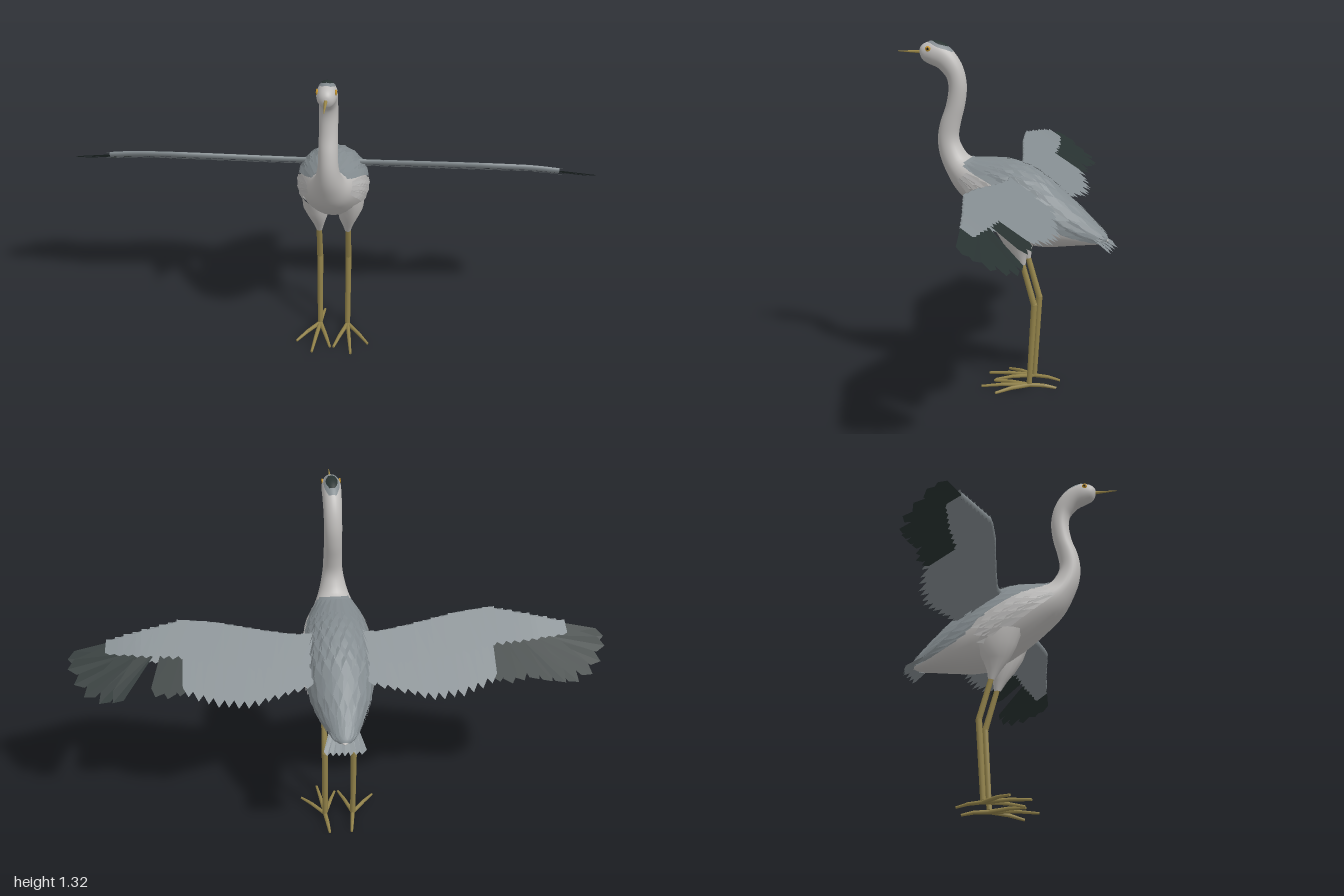
import * as THREE from 'three';

const mat = (name, color, side = THREE.FrontSide) => {
  const m = new THREE.MeshStandardMaterial({ color, side });
  m.name = name;
  return m;
};
const V = (x, y, z) => new THREE.Vector3(x, y, z);
const lerp = THREE.MathUtils.lerp;

// Body cross-sections from face to tail: [top z, top y, bottom z, bottom y, half width]
const RINGS = [
  [.336, 1.285, .336, 1.283, .001], [.331, 1.301, .331, 1.265, .016], [.314, 1.315, .32, 1.248, .029],
  [.28, 1.322, .295, 1.235, .036], [.24, 1.31, .265, 1.222, .036], [.2, 1.277, .245, 1.203, .035],
  [.17, 1.225, .23, 1.18, .034], [.157, 1.16, .226, 1.14, .034], [.163, 1.09, .237, 1.08, .034],
  [.18, 1.02, .258, 1.02, .035], [.188, .965, .268, .96, .037], [.175, .925, .262, .9, .045],
  [.145, .89, .24, .84, .06], [.09, .882, .2, .77, .085], [.02, .882, .14, .71, .108],
  [-.05, .868, .05, .637, .122], [-.13, .828, -.05, .572, .125], [-.2, .77, -.14, .556, .112],
  [-.27, .71, -.22, .562, .088], [-.33, .65, -.29, .569, .058], [-.37, .61, -.35, .575, .032],
  [-.385, .59, -.385, .588, .002],
];
const LAST = RINGS.length - 1;
const topCurve = new THREE.CatmullRomCurve3(RINGS.map(r => V(r[4], r[1], r[0])), false, 'catmullrom');
const botCurve = new THREE.CatmullRomCurve3(RINGS.map(r => V(r[4], r[3], r[2])), false, 'catmullrom');

// Point on the body: t = section number, a = angle from the top, off = height above the skin
function skin(t, a, off = 0) {
  const k = THREE.MathUtils.clamp(t / LAST, 0, 1);
  const p = topCurve.getPoint(k), q = botCurve.getPoint(k);
  const hy = (p.y - q.y) / 2, hz = (p.z - q.z) / 2;
  const s = Math.cos(a) * (1 + off / Math.max(.01, Math.hypot(hy, hz)));
  return V((p.x + off) * Math.sin(a), (p.y + q.y) / 2 + hy * s, (p.z + q.z) / 2 + hz * s);
}

// Smooth grid surface; fn(u, v) gives the points, wrap closes it along v
function grid(nu, nv, fn, wrap = false) {
  const pos = [], idx = [], cols = wrap ? nv : nv + 1;
  for (let i = 0; i <= nu; i++)
    for (let j = 0; j < cols; j++) pos.push(...fn(i / nu, j / nv).toArray());
  for (let i = 0; i < nu; i++)
    for (let j = 0; j < nv; j++) {
      const a = i * cols + j, b = i * cols + (j + 1) % cols;
      idx.push(a, b, a + cols, b, b + cols, a + cols);
    }
  const g = new THREE.BufferGeometry();
  g.setAttribute('position', new THREE.Float32BufferAttribute(pos, 3));
  g.setIndex(idx);
  g.computeVertexNormals();
  return g;
}

// Flat feathers, each a small polygon filled as a fan
function plates(polys) {
  const pos = [];
  for (const p of polys)
    for (let i = 1; i < p.length - 1; i++)
      for (const v of [p[0], p[i], p[i + 1]]) pos.push(v.x, v.y, v.z);
  const g = new THREE.BufferGeometry();
  g.setAttribute('position', new THREE.Float32BufferAttribute(pos, 3));
  g.computeVertexNormals();
  return g;
}

// Pointed feather lying on the body
const bodyFeather = (t, a, len, half) => [
  skin(t, a - half * .6, .003), skin(t, a + half * .6, .003), skin(t + len * .65, a + half, .009),
  skin(t + len, a, .012), skin(t + len * .65, a - half, .009),
];

// Wing surface: a plane sloping down to the back, drooping at the tip
const wingPoint = (side, x, z, lift) =>
  V(side * x, .845 + .65 * z - .02 * THREE.MathUtils.smoothstep(x, .7, 1) + lift, z);

function wingFeather(side, [rx, rz], [tx, tz], width, lift) {
  const len = Math.hypot(tx - rx, tz - rz), nx = -(tz - rz) / len * width / 2, nz = (tx - rx) / len * width / 2;
  const at = (k, s) => wingPoint(side, lerp(rx, tx, k) + nx * s, lerp(rz, tz, k) + nz * s, lift);
  return [at(0, -1), at(0, 1), at(.86, 1), at(1, .1), at(.88, -1)];
}

// Piecewise linear lookup
function along(table, x) {
  let i = 0;
  while (i < table.length - 2 && x > table[i + 1][0]) i++;
  const [a, b] = [table[i], table[i + 1]];
  return lerp(a[1], b[1], THREE.MathUtils.clamp((x - a[0]) / (b[0] - a[0]), 0, 1));
}
const LEAD = [[.06, -.02], [.14, -.03], [.27, -.01], [.45, .025], [.57, .038], [.73, .005], [.85, -.015]];
const MIDDLE = [[.06, -.13], [.3, -.145], [.45, -.12], [.56, -.095], [.7, -.085], [.85, -.06]];
const TRAIL = [[.06, -.19], [.14, -.21], [.33, -.26], [.45, -.25], [.56, -.21]];
const PRIMARY_TIPS = [[.585, -.205], [.63, -.215], [.675, -.205], [.73, -.205], [.78, -.21], [.83, -.215],
  [.88, -.21], [.935, -.185], [.972, -.14], [.995, -.09], [.995, -.055]];
// How far down each side the grey of the back reaches
const MANTLE = [[12, 1.05], [15.3, 1.25], [17, 1.6], [19, 1.75]];

export function createModel() {
  const model = new THREE.Group();
  const pale = mat('pale plumage', 0xbebcba);
  const paleFeather = mat('pale feathers', 0xb6b5b4, THREE.DoubleSide);
  const grey = mat('grey feathers', 0x838b8f, THREE.DoubleSide);
  const dark = mat('dark flight feathers', 0x283231, THREE.DoubleSide);
  const horn = mat('leg horn', 0x93834a);
  const billMat = mat('bill', 0x9c8848);
  const eyeMat = mat('eye yellow', 0xc8962a);
  const black = mat('pupil black', 0x151515);
  const add = (name, geo, material, parent = model) => {
    const m = new THREE.Mesh(geo, material);
    m.name = name;
    parent.add(m);
    return m;
  };
  // Tapered rod between two points
  const rod = (name, a, b, ra, rb, material, parent, sides = 8) => {
    const d = b.clone().sub(a);
    const m = add(name, new THREE.CylinderGeometry(rb, ra, d.length(), sides), material, parent);
    m.position.copy(a).addScaledVector(d, .5);
    m.quaternion.setFromUnitVectors(V(0, 1, 0), d.normalize());
    return m;
  };

  // Head, neck and body in one skin, with a grey crown and a darker patch on it
  add('body', grid(84, 28, (u, v) => skin(u * LAST, v * Math.PI * 2), true), pale);
  const cap = (name, t, len, spread, off, material) => add(name, grid(8, 8, (u, v) =>
    skin(t + u * len, (v - .5) * spread * Math.sin(.5 + u * 2.2), off)), material);
  cap('crown', 2.5, 2.3, 1.75, .002, grey);
  cap('crownPatch', 2.9, 1.4, 1.15, .004, dark);

  // Grey mantle over the back, with overlapping feathers
  add('mantle', grid(32, 20, (u, v) => {
    const t = 12.1 + u * 8.6;
    return skin(t, (v - .5) * 2 * (along(MANTLE, t) - .08), .004);
  }), grey);
  const back = [], shoulder = [];
  for (let r = 0; r < 14; r++) {
    const t = 12.3 + r * .5, n = 9 + r % 2;
    for (let j = 0; j < n; j++)
      back.push(bodyFeather(t, (j / (n - 1) - .5) * 2 * along(MANTLE, t), Math.min(1.6, 20.6 - t), .18));
  }
  for (const s of [-1, 1])
    for (let r = 0; r < 6; r++)
      for (let j = 0; j < 3; j++)
        shoulder.push(bodyFeather(12.8 + r * .5, s * (1.45 + r * .03 + j * .22), 1.2, .16));
  add('backFeathers', plates(back), grey);
  add('shoulderFeathers', plates(shoulder), paleFeather);

  // Tail fan
  const tail = [];
  for (let i = -3; i <= 3; i++) {
    const x = i * .021, e = .006 * (3 - Math.abs(i)), l = .003 * Math.abs(i);
    tail.push([V(x * .5 - .01, .645 - l, -.29), V(x * .5 + .01, .645 - l, -.29), V(x + .015, .577 - l, -.39 - e / 2),
      V(x + .004, .565 - l, -.402 - e), V(x - .015, .577 - l, -.39 - e / 2)]);
  }
  add('tail', plates(tail), grey);

  // Bill
  rod('bill', V(0, 1.281, .322), V(0, 1.281, .418), .007, .0012, billMat);

  for (const side of [1, -1]) {
    const label = side > 0 ? 'left' : 'right';

    // Eye
    const eye = (name, r, x, material) => {
      const m = add(name, new THREE.SphereGeometry(r, 12, 8), material);
      m.position.set(side * x, 1.297, .296);
      m.scale.x = .4;
    };
    eye(label + 'Eye', .0105, .0325, eyeMat);
    eye(label + 'Pupil', .005, .0357, black);

    // Wing: secondaries, primaries, then coverts above and below
    const wing = new THREE.Group();
    wing.name = label + 'Wing';
    model.add(wing);
    const second = [], prime = [], cover = [], under = [];
    for (let i = 0; i < 14; i++) {
      const x = lerp(.08, .55, i / 13);
      second.push(wingFeather(side, [x, along(LEAD, x) - .02], [x + .005, along(TRAIL, x)], .046, i % 2 * .003));
    }
    PRIMARY_TIPS.forEach((tip, i) => {
      if (side > 0 && (i === 3 || i === 4)) return; // moulted feathers leave a gap
      const k = i / (PRIMARY_TIPS.length - 1);
      prime.push(wingFeather(side, [lerp(.575, .8, k), lerp(-.04, -.03, k)], tip, .052, -.003 + i % 2 * .003));
    });
    for (let i = 0; i < 24; i++) {
      const x = lerp(.08, .83, i / 23);
      const f = [[x, along(LEAD, x)], [x + .006, along(MIDDLE, x)], .046];
      cover.push(wingFeather(side, ...f, .009 + i % 2 * .002));
      under.push(wingFeather(side, ...f, -.012 - i % 2 * .002));
    }
    add('secondaries', plates(second), grey, wing);
    add('primaries', plates(prime), dark, wing);
    add('upperCoverts', plates(cover), grey, wing);
    add('underCoverts', plates(under), grey, wing);
    // Leading edge closes the coverts
    add('wingEdge', grid(24, 4, (u, v) => {
      const x = lerp(.06, .84, u), a = v * Math.PI;
      return wingPoint(side, x, along(LEAD, x) + .008 * Math.sin(a) - .003, .011 * Math.cos(a));
    }), grey, wing);

    // Thigh: [y, x, z, half width, half depth]
    const T = [[.68, .066, -.045, .054, .1], [.62, .065, -.05, .051, .082], [.57, .058, -.047, .036, .05],
      [.53, .056, -.056, .022, .027], [.49, .055, -.066, .011, .012]];
    add(label + 'Thigh', grid(T.length - 1, 16, (u, v) => {
      const [y, x, z, w, d] = T[Math.round(u * (T.length - 1))], a = v * Math.PI * 2;
      return V(side * x + w * Math.cos(a), y, z + d * Math.sin(a));
    }, true), pale);

    // Leg and foot
    const leg = new THREE.Group();
    leg.name = label + 'Leg';
    model.add(leg);
    const knee = V(side * .056, .337, -.112), ankle = V(side * .055, .022, -.094);
    rod('upperLeg', V(side * .056, .51, -.063), knee, .0105, .012, horn, leg);
    rod('lowerLeg', knee, ankle, .012, .0105, horn, leg);
    add('knee', new THREE.SphereGeometry(.0125, 8, 6), horn, leg).position.copy(knee);
    for (const [dx, dz] of [[.087, .115], [.022, .182], [-.048, .145], [-.012, -.103]]) {
      const joint = V(ankle.x + side * dx * .55, .015, ankle.z + dz * .55);
      rod('toe', V(ankle.x, .016, ankle.z), joint, .0085, .0075, horn, leg, 6);
      rod('toeTip', joint, V(ankle.x + side * dx, .006, ankle.z + dz), .0075, .005, horn, leg, 6);
    }
  }
  return model;
}
